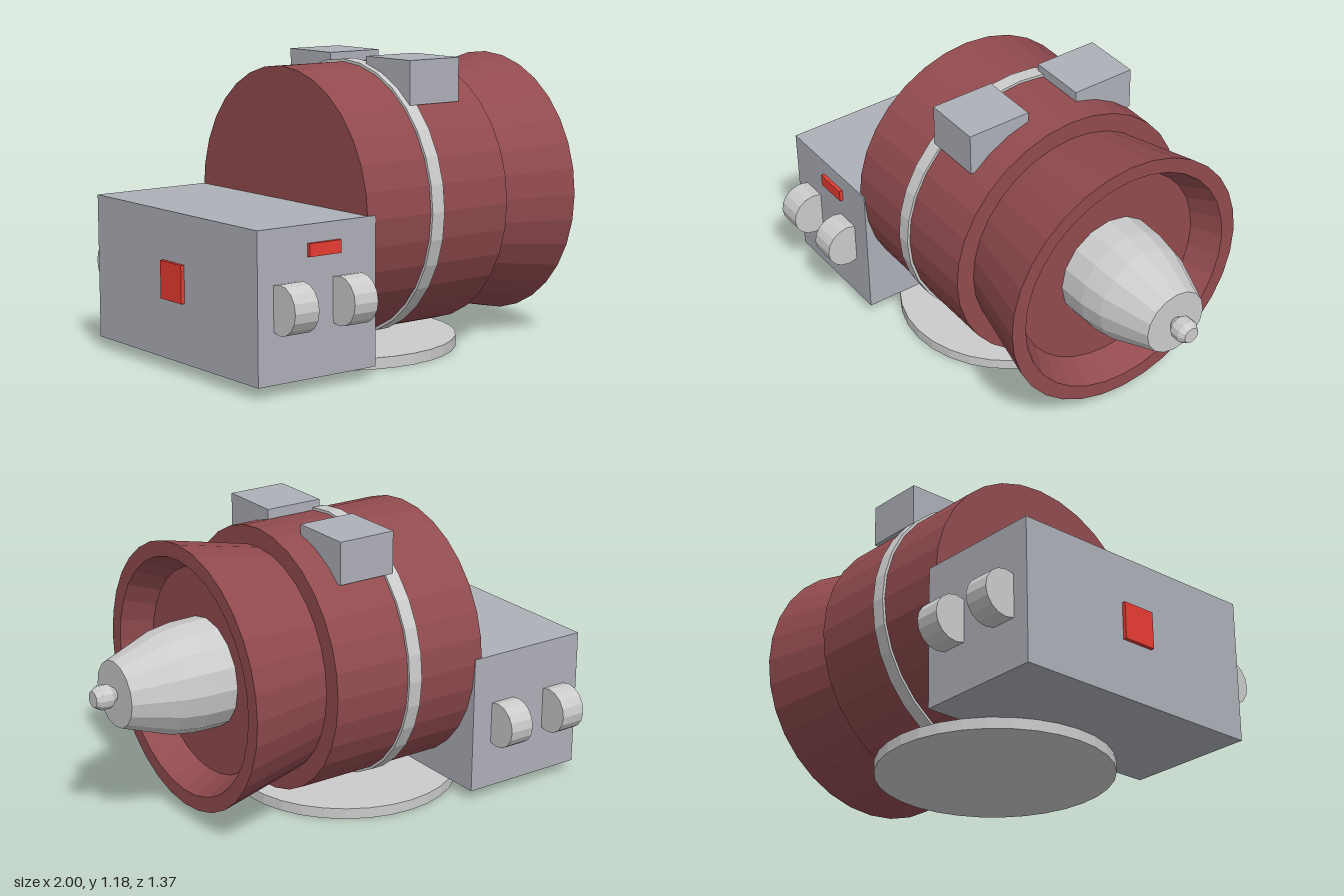
import * as THREE from 'three';

const mat = (color) => new THREE.MeshStandardMaterial({ color, flatShading: true });

export function createModel() {
  const model = new THREE.Group();
  const grey = mat(0xcccccc);
  const casing = mat(0xaeb0b8);
  const maroon = mat(0x924b4f);
  const red = mat(0xe83c32);
  const axisY = 0.605;

  const add = (name, geometry, material, x, y, z) => {
    const mesh = new THREE.Mesh(geometry, material);
    mesh.name = name;
    mesh.position.set(x, y, z);
    model.add(mesh);
    return mesh;
  };

  // Box given by its extents
  const box = (name, material, x0, x1, y0, y1, z0, z1) =>
    add(name, new THREE.BoxGeometry(x1 - x0, y1 - y0, z1 - z0), material,
      (x0 + x1) / 2, (y0 + y1) / 2, (z0 + z1) / 2);

  // Turned part lying along x; profile points are [x, radius]
  const turned = (name, material, profile, sides) => {
    const points = profile.map(([x, r]) => new THREE.Vector2(r, x));
    const geometry = new THREE.LatheGeometry(points, sides).rotateZ(-Math.PI / 2);
    return add(name, geometry, material, 0, axisY, 0);
  };

  // Engine drum, its strap and the flared nozzle with a recessed floor
  turned('drum', maroon, [[-0.475, 0], [-0.475, 0.547], [0.23, 0.547], [0.23, 0]], 32);
  turned('strap', grey,
    [[-0.165, 0.5], [-0.165, 0.558], [-0.105, 0.558], [-0.105, 0.5]], 32);
  turned('nozzle', maroon,
    [[0.22, 0.468], [0.6, 0.55], [0.6, 0.487], [0.48, 0.425], [0.48, 0]], 32);

  // Exhaust spike and its rounded tip
  turned('spike', grey,
    [[0.48, 0.225], [0.6, 0.223], [0.7, 0.208], [0.9, 0.136], [0.9, 0]], 16);
  turned('spikeTip', grey,
    [[0.9, 0], [0.9, 0.025], [0.93, 0.049], [0.97, 0.049], [0.995, 0.033], [0.995, 0]], 12);

  // Rear housing with indicator panels
  box('housing', casing, -0.985, -0.44, 0.045, 0.625, -0.55, 0.55);
  box('sideLight', red, -0.76, -0.615, 0.505, 0.555, 0.54, 0.565);
  box('rearPanel', red, -1.0, -0.975, 0.28, 0.43, -0.072, 0.072);

  // Rounded pods on both housing sides, and the blocks on top of the drum
  for (const side of [-1, 1]) {
    for (const x of [-0.86, -0.588]) {
      const pod = new THREE.CylinderGeometry(0.095, 0.095, 0.108, 16).rotateZ(Math.PI / 2);
      add('sidePod', pod, grey, x, 0.33, side * 0.588);
    }
    add('topBlock', new THREE.BoxGeometry(0.25, 0.175, 0.273), casing,
      -0.015, 1.0925, side * 0.252);
  }

  // Round base plate
  add('basePlate', new THREE.CylinderGeometry(0.475, 0.475, 0.045, 32), grey, -0.188, 0.0225, 0);

  return model;
}
